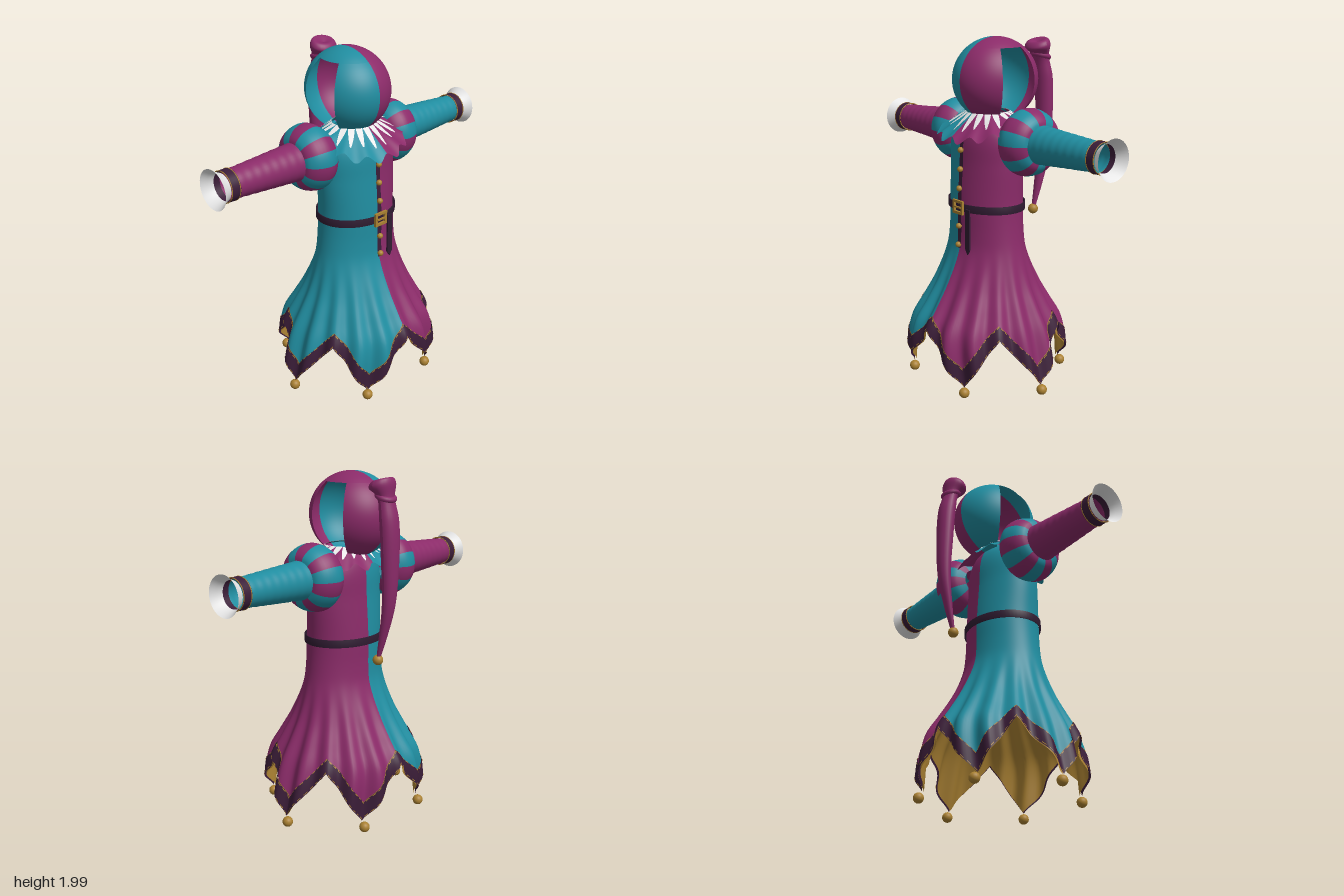
import * as THREE from 'three';

const PI = Math.PI, RAD = PI / 180;
const mat = (name, color) => {
  const m = new THREE.MeshStandardMaterial({ color, side: THREE.DoubleSide });
  m.name = name;
  return m;
};

// Surface from a rule p(u, v) -> [x, y, z], u and v running 0..1
function grid(p, nu, nv) {
  const pos = [], idx = [], w = nu + 1;
  for (let j = 0; j <= nv; j++)
    for (let i = 0; i <= nu; i++) pos.push(...p(i / nu, j / nv));
  for (let j = 0; j < nv; j++)
    for (let i = 0; i < nu; i++) {
      const a = j * w + i;
      idx.push(a, a + 1, a + w, a + 1, a + w + 1, a + w);
    }
  const g = new THREE.BufferGeometry();
  g.setAttribute('position', new THREE.Float32BufferAttribute(pos, 3));
  g.setIndex(idx);
  g.computeVertexNormals();
  return g;
}

// Tunic cross-sections: half width and half depth by height
const girth = new THREE.CubicInterpolant(
  [0.07, 0.36, 0.48, 0.6, 0.8, 0.9, 1.05, 1.3, 1.46, 1.53, 1.58],
  [0.51, 0.435, 0.43, 0.422, 0.375, 0.352, 0.322, 0.283, 0.265, 0.2, 0.25, 0.19,
    0.24, 0.19, 0.245, 0.175, 0.235, 0.165, 0.19, 0.14, 0.11, 0.1], 2);
const CZ = 0.01;
const frontZ = y => CZ + girth.evaluate(y)[1];

// 0 at the six hem points, 1 in the notches between them
const notch = a => {
  const k = (((a / (60 * RAD)) % 1) + 1) % 1;
  return 1 - Math.abs(2 * k - 1);
};
const hemY = a => 0.07 + 0.29 * notch(a);
const trimY = a => hemY(a) + 0.105 - 0.03 * notch(a) ** 3;

// Point on the tunic, with folds growing towards the hem
function tunic(a, y, off = 0) {
  const [rx, rz] = girth.evaluate(y);
  const r = off - 0.022 * THREE.MathUtils.smoothstep(0.85 - y, 0, 0.65) * Math.cos(18 * a);
  return [(rx + r) * Math.cos(a), y, CZ + (rz + r) * Math.sin(a)];
}

// Point on the scalloped collar, t from neck to edge; deep in front, short behind
function collar(a, t, lift = 0) {
  const s = Math.sin(a);
  const drop = s > 0 ? 0.05 + 0.09 * s : 0.05 - 0.05 * s;
  const depth = s > 0 ? 0.17 : 0.1;
  const wave = Math.cos(14 * a) * t * t;
  return [(0.12 + (0.18 + 0.012 * wave) * t) * Math.cos(a),
    1.585 - drop * t - 0.018 * wave + lift,
    -0.01 + (0.11 + (depth + 0.012 * wave) * t) * s];
}

const hood = (a, th) => [0.23 * Math.sin(th) * Math.cos(a), 1.76 + 0.24 * Math.cos(th),
  -0.055 + 0.255 * Math.sin(th) * Math.sin(a)];

export function createModel() {
  const root = new THREE.Group();
  const teal = mat('teal cloth', 0x208da0), plum = mat('magenta cloth', 0x8b2b69);
  const dark = mat('dark trim', 0x3b1d38), leather = mat('belt leather', 0x301c32);
  const gold = mat('gold', 0xaa8132), white = mat('white lace', 0xe6e6e6);
  const lerp = THREE.MathUtils.lerp;
  const add = (name, geo, m, parent = root) => {
    const mesh = new THREE.Mesh(geo, m);
    mesh.name = name;
    parent.add(mesh);
    return mesh;
  };
  const ball = (name, r, x, y, z) =>
    add(name, new THREE.SphereGeometry(r, 20, 14), gold).position.set(x, y, z);

  // Two-coloured tunic, collar and hood: left half magenta, right half teal
  for (const [side, m, start] of [['left', plum, -90], ['right', teal, 90]]) {
    const ang = u => (start + 180 * u) * RAD;
    add(side + 'Tunic', grid((u, v) => tunic(ang(u), lerp(1.58, trimY(ang(u)), v)), 108, 48), m);
    add(side + 'Collar', grid((u, v) => collar(ang(u), v), 96, 8), m);
    add(side + 'HoodCap', grid((u, v) => hood(ang(u), v * 40 * RAD), 48, 10), m);
    // Hood panels leave an opening on each side of the head
    for (const [part, a0] of [['A', start], ['B', start + 117]])
      add(side + 'HoodPanel' + part,
        grid((u, v) => hood((a0 + 63 * u) * RAD, (40 + 140 * v) * RAD), 20, 28), m);
  }

  // Hem trim, its fine gold stitching and the gold lining
  add('hemTrim', grid((u, v) => {
    const a = u * 2 * PI;
    return tunic(a, lerp(trimY(a), hemY(a), v), 0.004);
  }, 216, 5), dark);
  for (const edge of [trimY, a => hemY(a) + 0.012])
    for (let i = 0; i < 108; i++)
      add('trimStitch', grid((u, v) => {
        const a = (i + 0.55 * u) * PI / 54;
        return tunic(a, edge(a) - 0.006 * v, 0.007);
      }, 1, 1), gold);
  add('skirtLining', grid((u, v) => {
    const a = -u * 2 * PI;
    return tunic(a, lerp(0.9, hemY(a) + 0.003, v), -0.008);
  }, 216, 24), gold);
  for (let i = 0; i < 6; i++)
    ball('hemBell', 0.03, 0.49 * Math.cos(i * 60 * RAD), 0.036, 0.428 * Math.sin(i * 60 * RAD));

  // White lace teeth lying on the collar
  for (let i = 0; i < 20; i++) {
    const c = (i + 0.5) * PI / 10;
    add('collarTooth', grid((u, v) =>
      collar(c + (u - 0.5) * 0.3 * (1 - v * 0.9), 0.04 + 0.64 * v, 0.006), 4, 5), white);
  }

  // Hood tail with knot and bell: rows of y, z, radius
  const tail = new THREE.CatmullRomCurve3([
    [1.955, -0.315, 0.001], [1.97, -0.32, 0.05], [1.94, -0.32, 0.066], [1.88, -0.345, 0.043],
    [1.76, -0.37, 0.048], [1.58, -0.38, 0.046], [1.3, -0.375, 0.034], [1.12, -0.34, 0.022],
    [0.98, -0.305, 0.01]].map(p => new THREE.Vector3(...p)));
  add('hoodTail', grid((u, v) => {
    const p = tail.getPoint(v), a = u * 2 * PI;
    const tilt = 0.3 * THREE.MathUtils.smoothstep(p.x, 1.88, 1.95) * Math.sin(a) * p.z;
    return [0.06 + 1.25 * p.z * Math.cos(a), p.x - tilt, p.y + p.z * Math.sin(a)];
  }, 24, 56), plum);
  const knot = add('tailKnot', new THREE.TorusGeometry(0.046, 0.016, 10, 24), plum);
  knot.position.set(0.06, 1.88, -0.345);
  knot.rotation.x = PI / 2 - 0.3;
  ball('tailBell', 0.03, 0.06, 0.97, -0.302);

  // Sleeves, built around the arm axis and turned for the other side
  const lathe = (pts, seg, ...arc) =>
    new THREE.LatheGeometry(pts.map(([x, r]) => new THREE.Vector2(r, x)), seg, ...arc);
  const puff = new THREE.SplineCurve([[0.08, 0.195], [0.14, 0.215], [0.175, 0.255], [0.19, 0.305],
    [0.172, 0.37], [0.135, 0.41], [0.1, 0.42]].map(p => new THREE.Vector2(...p)))
    .getPoints(20).map(p => [p.y, p.x]);
  const sleeve = Array.from({ length: 41 }, (_, i) => {
    const t = i / 40;
    return [0.405 + 0.44 * t, lerp(0.108, 0.079, t) + 0.0009 * Math.sin(t * 50)];
  });
  for (const [side, m, turn] of [['left', teal, 0], ['right', plum, PI]]) {
    const holder = new THREE.Group(), arm = new THREE.Group();
    holder.name = side + 'Sleeve';
    holder.position.set(0, 1.44, -0.042);
    holder.rotation.y = turn;
    arm.rotation.z = -PI / 2;
    holder.add(arm);
    root.add(holder);
    const w = 2 * PI / 14;
    for (let i = 0; i < 14; i++)
      add('puffStripe', lathe(puff, 5, 1.5 * PI + (i - 0.5) * w, w), i % 2 ? teal : plum, arm);
    add('lowerSleeve', lathe(sleeve, 40), m, arm);
    add('cuffBand', new THREE.CylinderGeometry(0.087, 0.087, 0.06, 40, 1, true), dark, arm)
      .position.y = 0.86;
    for (const x of [0.834, 0.886]) {
      const ring = add('cuffPiping', new THREE.TorusGeometry(0.086, 0.003, 8, 40), gold, arm);
      ring.position.y = x;
      ring.rotation.x = PI / 2;
    }
    add('cuffFlare', lathe([[0.885, 0.076], [0.915, 0.09], [0.945, 0.112]], 40), white, arm);
  }

  // Button placket
  add('placket', grid((u, v) => {
    const y = lerp(1.44, 0.81, v);
    return [(u - 0.5) * 0.03, y, frontZ(y) + 0.008];
  }, 1, 24), dark);
  for (const y of [1.38, 1.27, 1.16, 0.94, 0.83]) ball('button', 0.017, 0, y, frontZ(y) + 0.014);

  // Belt with buckle and hanging end
  const belt = add('belt', lathe([[-0.022, 0.97], [-0.022, 1], [0.022, 1], [0.022, 0.97]], 64), leather);
  belt.scale.set(0.252, 1, 0.203);
  belt.position.set(0, 1.052, CZ);
  const outline = (w, h) => [[-w, -h], [w, -h], [w, h], [-w, h]].map(p => new THREE.Vector2(...p));
  const frame = new THREE.Shape(outline(0.045, 0.04));
  frame.holes.push(new THREE.Path(outline(0.029, 0.025).reverse()));
  add('buckle', new THREE.ExtrudeGeometry(frame, { depth: 0.014, bevelEnabled: false }), gold)
    .position.set(0, 1.052, 0.21);
  add('bucklePin', new THREE.BoxGeometry(0.07, 0.009, 0.01), gold).position.set(0, 1.052, 0.222);
  const strap = new THREE.Shape([[0.06, 1.05], [0.06, 0.815], [0.08, 0.785], [0.097, 0.815], [0.097, 1.05]]
    .map(p => new THREE.Vector2(...p)));
  add('beltEnd', new THREE.ExtrudeGeometry(strap, { depth: 0.01, bevelEnabled: false }), leather)
    .position.z = 0.206;

  return root;
}
